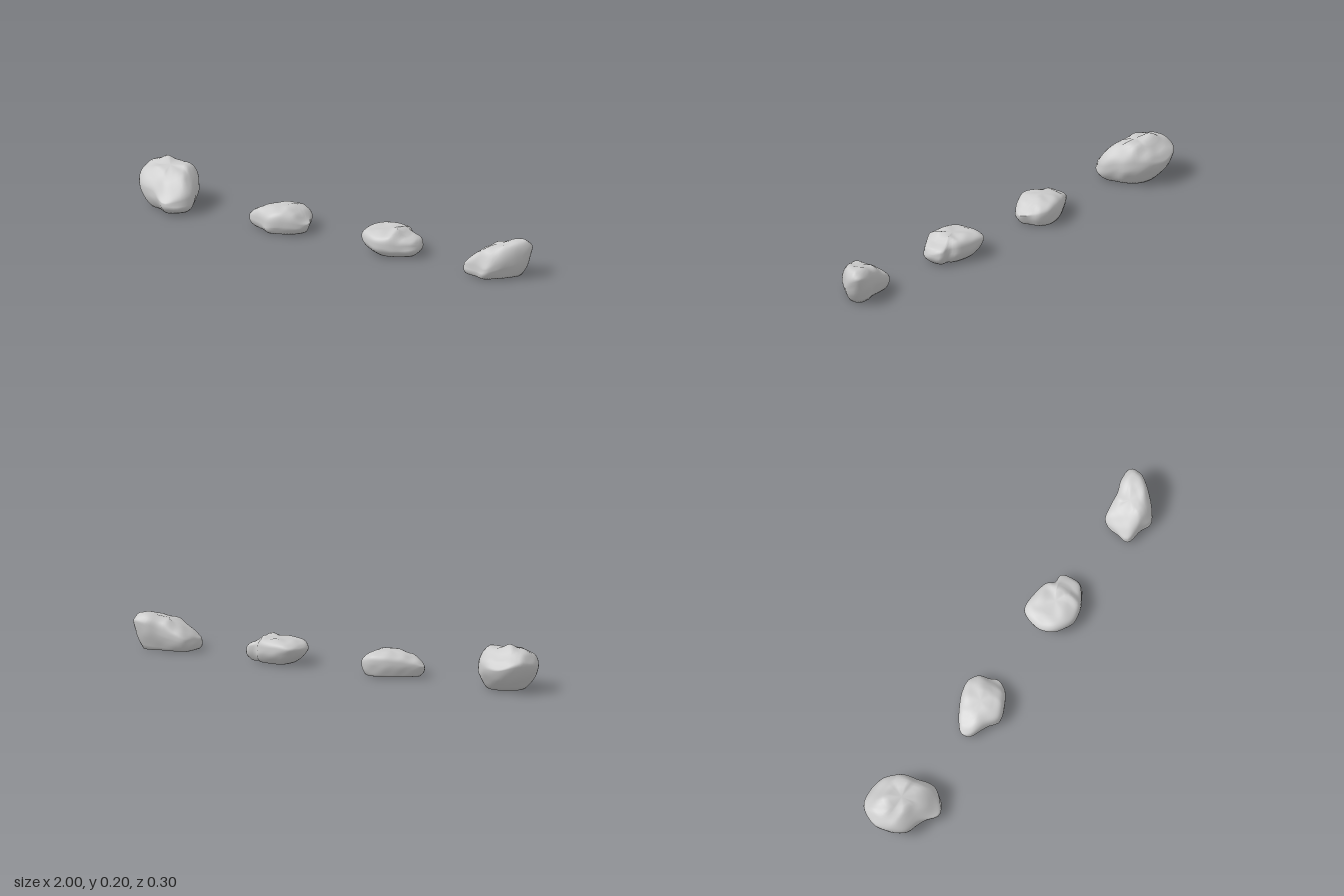
import * as THREE from 'three';

const SIDES = 56, LOW = 6, HIGH = 11;

// Height of a polyline [[u, y], ...] at u
function profile(points, u) {
  if (u <= points[0][0]) return points[0][1];
  for (let i = 1; i < points.length; i++) {
    const [u0, y0] = points[i - 1], [u1, y1] = points[i];
    if (u <= u1) return y0 + (y1 - y0) * (u - u0) / (u1 - u0);
  }
  return points[points.length - 1][1];
}

// Gentle weathered bumps
const bump = (x, y, z) =>
  Math.sin(31 * x + 17 * z) * Math.sin(37 * z - 23 * y + 1) + 0.6 * Math.sin(67 * x + 41 * y) * Math.sin(59 * z + 2);

// Rock from stacked loops: a widest belt [x, y, z], a ridge over x, a ridge over z, and a smaller base
function rockGeometry({ belt, ridge, ridgeZ, base }) {
  const curve = new THREE.CatmullRomCurve3(belt.map(p => new THREE.Vector3(...p)), true, 'centripetal');
  const loop = curve.getSpacedPoints(SIDES).slice(0, SIDES);
  const c = new THREE.Vector3();
  loop.forEach(p => c.addScaledVector(p, 1 / SIDES));
  const top = (x, z) => Math.min(profile(ridge, x), ridgeZ ? profile(ridgeZ, z) : 1);
  const pos = [], index = [];

  // Underside, from the base up to just below the belt
  for (let j = 0; j < LOW; j++) {
    const k = 1 - j / LOW, s = 1 - (1 - base.scale) * Math.pow(k, 2);
    for (const p of loop) {
      const x = c.x + (p.x - c.x) * s + base.dx * k, z = c.z + (p.z - c.z) * s + base.dz * k;
      const y = p.y * (1 - k) + 0.003 * k;
      const b = 1 + 0.025 * k * (1 - k) * 4 * bump(x, y, z);
      pos.push(c.x + (x - c.x) * b, y, c.z + (z - c.z) * b);
    }
  }
  // Belt and crown
  for (let j = 0; j < HIGH; j++) {
    const t = j / HIGH * Math.PI / 2;
    const s = Math.pow(Math.cos(t), 0.55), w = Math.pow(Math.sin(t), 0.68);
    for (const p of loop) {
      const x = c.x + (p.x - c.x) * s, z = c.z + (p.z - c.z) * s;
      const y = p.y + (Math.max(top(x, z), p.y) - p.y) * w;
      pos.push(x, y + 0.004 * w * bump(x, y, z), z);
    }
  }
  const rows = LOW + HIGH, apex = rows * SIDES, foot = apex + 1;
  pos.push(c.x, top(c.x, c.z), c.z, c.x + base.dx, 0, c.z + base.dz);

  for (let i = 0; i < SIDES; i++) {
    const n = (i + 1) % SIDES;
    for (let j = 0; j < rows - 1; j++) {
      const a = j * SIDES + i, b = j * SIDES + n;
      index.push(a, a + SIDES, b, b, a + SIDES, b + SIDES);
    }
    const last = (rows - 1) * SIDES;
    index.push(last + i, apex, last + n, i, n, foot);
  }
  const g = new THREE.BufferGeometry();
  g.setAttribute('position', new THREE.Float32BufferAttribute(pos, 3));
  g.setIndex(index);
  g.computeVertexNormals();
  return g;
}

const ROCKS = {
  tallRock: {
    belt: [[-1, 0.117, -0.05], [-0.96, 0.12, -0.125], [-0.88, 0.1, -0.15], [-0.8, 0.1, -0.135], [-0.73, 0.09, -0.06],
      [-0.715, 0.08, -0.015], [-0.69, 0.055, 0.06], [-0.73, 0.05, 0.12], [-0.78, 0.055, 0.148], [-0.86, 0.07, 0.105],
      [-0.945, 0.09, 0.08], [-0.995, 0.11, 0]],
    ridge: [[-1, 0.15], [-0.97, 0.178], [-0.92, 0.187], [-0.885, 0.208], [-0.825, 0.188], [-0.765, 0.19], [-0.73, 0.157], [-0.69, 0.13]],
    ridgeZ: [[-0.15, 0.12], [-0.13, 0.15], [-0.1, 0.165], [-0.055, 0.208], [-0.03, 0.198], [0, 0.178], [0.04, 0.174], [0.08, 0.14], [0.11, 0.105], [0.15, 0.06]],
    base: { scale: 0.68, dx: 0.02, dz: 0.015 },
  },
  pointedRock: {
    belt: [[-0.415, 0.045, 0.005], [-0.385, 0.05, -0.03], [-0.335, 0.055, -0.065], [-0.265, 0.06, -0.1], [-0.205, 0.06, -0.11],
      [-0.155, 0.055, -0.085], [-0.14, 0.05, -0.045], [-0.12, 0.045, -0.01], [-0.14, 0.04, 0.04], [-0.195, 0.04, 0.08],
      [-0.265, 0.035, 0.105], [-0.32, 0.035, 0.075], [-0.4, 0.04, 0.04]],
    ridge: [[-0.415, 0.055], [-0.39, 0.077], [-0.34, 0.1], [-0.27, 0.107], [-0.21, 0.112], [-0.165, 0.096], [-0.14, 0.066], [-0.12, 0.05]],
    base: { scale: 0.87, dx: 0, dz: 0 },
  },
  notchedRock: {
    belt: [[0.17, 0.065, 0.005], [0.18, 0.07, -0.07], [0.205, 0.07, -0.105], [0.295, 0.065, -0.11], [0.36, 0.06, -0.095],
      [0.385, 0.06, -0.07], [0.43, 0.055, -0.07], [0.45, 0.05, -0.02], [0.445, 0.05, 0.02], [0.395, 0.045, 0.065],
      [0.35, 0.045, 0.09], [0.28, 0.05, 0.1], [0.2, 0.06, 0.06]],
    ridge: [[0.17, 0.085], [0.185, 0.098], [0.22, 0.107], [0.33, 0.11], [0.36, 0.12], [0.39, 0.092], [0.44, 0.086], [0.45, 0.06]],
    base: { scale: 0.7, dx: 0.02, dz: 0 },
  },
  wedgeRock: {
    belt: [[0.735, 0.04, 0.065], [0.735, 0.045, 0.005], [0.75, 0.05, -0.065], [0.8, 0.06, -0.08], [0.87, 0.08, -0.087],
      [0.925, 0.11, -0.105], [0.985, 0.125, -0.1], [0.998, 0.1, -0.05], [0.975, 0.075, -0.005], [0.94, 0.065, 0.04],
      [0.905, 0.05, 0.075], [0.865, 0.04, 0.1], [0.81, 0.035, 0.082]],
    ridge: [[0.73, 0.07], [0.8, 0.112], [0.84, 0.138], [0.895, 0.146], [0.93, 0.16], [0.975, 0.178], [1, 0.16]],
    ridgeZ: [[-0.105, 0.145], [-0.07, 0.175], [0, 0.175], [0.03, 0.15], [0.07, 0.125], [0.1, 0.07]],
    base: { scale: 0.82, dx: -0.015, dz: 0.01 },
  },
};

export function createModel() {
  const model = new THREE.Group();
  const stone = new THREE.MeshStandardMaterial({ color: 0xcccccc });
  stone.name = 'grey stone';
  for (const [name, spec] of Object.entries(ROCKS)) {
    const rock = new THREE.Mesh(rockGeometry(spec), stone);
    rock.name = name;
    model.add(rock);
  }
  return model;
}
